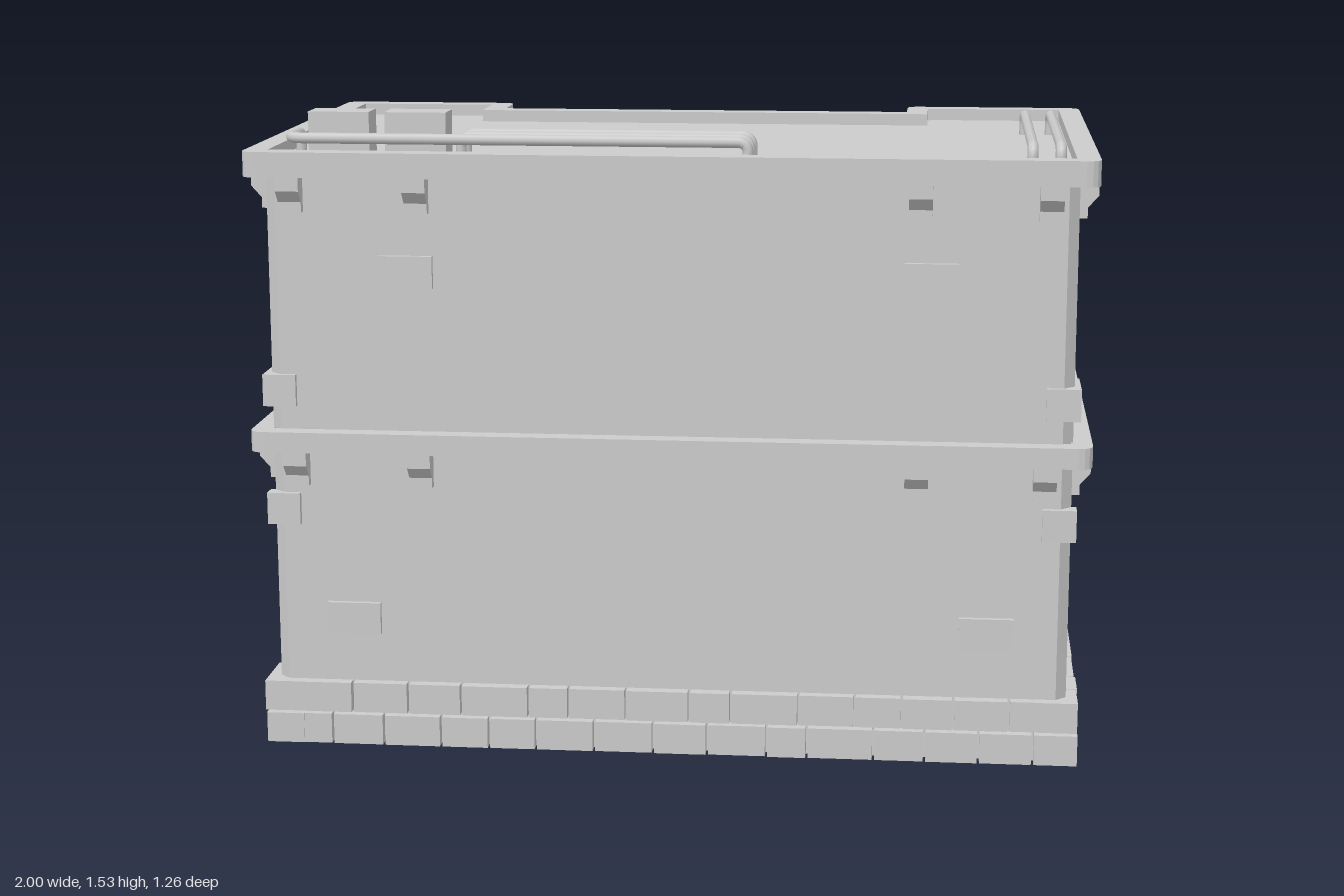
import * as THREE from 'three';

const grey = new THREE.MeshStandardMaterial({ color: 0xcccccc });
const sheet = new THREE.MeshStandardMaterial({ color: 0xcccccc, side: THREE.DoubleSide });

function add(parent, name, geometry, material = grey) {
  const m = new THREE.Mesh(geometry, material);
  m.name = name;
  parent.add(m);
  return m;
}

function box(parent, name, w, h, d, x, y, z) {
  const m = add(parent, name, new THREE.BoxGeometry(w, h, d));
  m.position.set(x, y, z);
  return m;
}

function group(parent, name) {
  const g = new THREE.Group();
  g.name = name;
  parent.add(g);
  return g;
}

// Corners of the U-shaped plan as (x, z), pushed outward by d
function corners(d) {
  const X = 0.955 + d, x = 0.585 - d, back = -0.535 - d, mid = -0.39 - d, front = 0.585 + d;
  return [[-X, back], [-x, back], [-x, mid], [x, mid], [x, back], [X, back], [X, front], [-X, front]]
    .map(p => new THREE.Vector2(...p));
}

// Plan outline with its outward corners cut or rounded
function plan(d, cut = 0, steps = 1) {
  const c = corners(d), pts = [];
  c.forEach((p, i) => {
    if (!cut || i === 2 || i === 3) return pts.push(p);
    const a = c[(i + 7) % 8].clone().sub(p).setLength(cut).add(p);
    const b = c[(i + 1) % 8].clone().sub(p).setLength(cut).add(p);
    pts.push(...new THREE.QuadraticBezierCurve(a, p, b).getPoints(steps));
  });
  return pts;
}

// Horizontal slab from y0 to y1, optionally hollow
function slab(outer, y0, y1, inner) {
  const s = new THREE.Shape(outer);
  if (inner) s.holes.push(new THREE.Path(inner));
  return new THREE.ExtrudeGeometry(s, { depth: y1 - y0, bevelEnabled: false })
    .rotateX(Math.PI / 2).translate(0, y1, 0);
}

// Open wall sheet around the plan
function wallSheet(pts, y0, y1) {
  const v = [];
  pts.forEach((a, i) => {
    const b = pts[(i + 1) % pts.length];
    v.push(a.x, y0, a.y, a.x, y1, a.y, b.x, y1, b.y, a.x, y0, a.y, b.x, y1, b.y, b.x, y0, b.y);
  });
  const g = new THREE.BufferGeometry();
  g.setAttribute('position', new THREE.Float32BufferAttribute(v, 3));
  g.computeVertexNormals();
  return g;
}

// Arched window with glazing bars and a sill, facing +z, sill bottom at y = 0
function makeWindow(h) {
  const g = new THREE.Group(), w = 0.165, sill = 0.028, bar = 0.012, rim = 0.022;
  g.name = 'window';
  const s = new THREE.Shape();
  s.moveTo(-w / 2, sill);
  s.lineTo(w / 2, sill);
  s.lineTo(w / 2, h - 0.025);
  s.quadraticCurveTo(0, h + 0.02, -w / 2, h - 0.025);
  const pw = (w - 2 * rim - bar) / 2, top = h - 0.035, low = sill + rim;
  const ph = (top - low - 2 * bar) / 3;
  for (const x of [-bar / 2 - pw, bar / 2]) for (let r = 0; r < 3; r++) {
    const y = low + r * (ph + bar);
    s.holes.push(new THREE.Path([[x, y], [x, y + ph], [x + pw, y + ph], [x + pw, y]]
      .map(p => new THREE.Vector2(...p))));
  }
  add(g, 'windowFrame', new THREE.ExtrudeGeometry(s, { depth: 0.014, bevelEnabled: false, curveSegments: 6 }));
  box(g, 'windowSill', 0.185, sill, 0.036, 0, sill / 2, 0.012);
  return g;
}

// Stepped bracket: profile in (outward, y), placed by turning about y
const bracketGeo = new THREE.ExtrudeGeometry(new THREE.Shape(
  [[-0.005, 0], [-0.005, -0.085], [0.02, -0.085], [0.02, -0.06], [0.045, -0.032], [0.045, 0]]
    .map(p => new THREE.Vector2(...p))), { depth: 0.055, bevelEnabled: false })
  .translate(0, 0, -0.0275).rotateY(-Math.PI / 2);

export function createModel() {
  const model = new THREE.Group();
  model.name = 'building';

  // Walls, storey band, roof
  add(model, 'walls', wallSheet(plan(0, 0.025), 0.012, 1.41), sheet);
  add(model, 'storeyBand', slab(plan(0.045, 0.035, 4), 0.74, 0.79, plan(-0.005)));
  add(model, 'roofParapet', slab(plan(0.045, 0.035, 4), 1.4, 1.46, plan(-0.01)));
  add(model, 'roofDeck', slab(plan(-0.005, 0.025), 1.4, 1.43));

  // Two courses of foundation blocks
  const base = group(model, 'foundation');
  let seed = 7;
  const rnd = () => (seed = (seed * 16807) % 2147483647) / 2147483647;
  const plinth = corners(0.03);
  for (let row = 0; row < 2; row++) plinth.forEach((a, i) => {
    const b = plinth[(i + 1) % 8], len = a.distanceTo(b), dir = b.clone().sub(a).normalize();
    const n = Math.max(1, Math.round(len / 0.135));
    const cuts = [0];
    for (let k = 1; k < n; k++) cuts.push((k + (row ? 0.2 : -0.2) + 0.3 * (rnd() - 0.5)) * len / n);
    cuts.push(len);
    for (let k = 0; k < n; k++) {
      const w = cuts[k + 1] - cuts[k] - 0.006, depth = 0.09, jut = -0.006 * rnd();
      const p = a.clone().addScaledVector(dir, (cuts[k] + cuts[k + 1]) / 2)
        .addScaledVector(new THREE.Vector2(dir.y, -dir.x), jut - depth / 2);
      const alongX = Math.abs(dir.x) > 0.5;
      box(base, 'foundationBlock', alongX ? w : depth, 0.074, alongX ? depth : w, p.x, 0.047 + row * 0.081, p.y);
    }
  });

  // Brackets below the band and the parapet
  const brackets = group(model, 'brackets');
  const spots = [];
  for (const s of [-1, 1]) {
    for (const x of [0.59, 0.89]) spots.push([s * x, 0.585, 0]);
    for (const x of [0.66, 0.89]) spots.push([s * x, -0.535, Math.PI]);
    for (const x of [0.18, 0.45]) spots.push([s * x, -0.39, Math.PI]);
    for (const z of [0.5, 0.175, -0.14, -0.46]) spots.push([s * 0.955, z, s * Math.PI / 2]);
  }
  for (const y of [0.74, 1.4]) for (const [x, z, turn] of spots) {
    const b = add(brackets, 'bracket', bracketGeo);
    b.position.set(x, y, z);
    b.rotation.y = turn;
  }

  // Raised bricks scattered over the walls, mirrored left to right
  const bricks = group(model, 'raisedBricks');
  for (const s of [-1, 1]) {
    for (const [x, y] of [[0.62, 1.175], [0.762, 0.325]])
      box(bricks, 'frontBrick', 0.13, 0.077, 0.03, s * x, y, 0.583);
    for (const [z, y] of [[-0.17, 1.255], [-0.23, 1.165], [-0.3, 0.905], [-0.18, 0.37], [0.09, 0.305], [0.385, 0.745]])
      box(bricks, 'sideBrick', 0.03, 0.077, 0.132, s * 0.955, y, z);
    box(bricks, 'cornerBrick', 0.08, 0.077, 0.04, s * 0.927, 0.595, 0.58);
    box(bricks, 'cornerBrick', 0.08, 0.077, 0.137, s * 0.93, 0.885, 0.53);
    box(bricks, 'cornerBrick', 0.08, 0.077, 0.14, s * 0.93, 1.01, -0.473);
  }

  // Windows on the back wall and wings
  const windows = group(model, 'windows');
  const place = (x, y, z, h) => {
    const w = makeWindow(h);
    w.position.set(x, y, z);
    w.rotation.y = Math.PI;
    windows.add(w);
  };
  for (const s of [-1, 1]) {
    for (const [x, z] of [[0.755, -0.535], [0.395, -0.39]]) {
      place(s * x, 0.275, z, 0.235);
      place(s * x, 0.915, z, 0.285);
    }
    place(s * 0.13, 0.915, -0.39, 0.285);
  }

  // Double door with frame, lintel and panels
  const door = group(model, 'door');
  box(door, 'lintel', 0.43, 0.03, 0.05, 0, 0.65, -0.4);
  for (const s of [-1, 1]) {
    box(door, 'doorPost', 0.022, 0.5, 0.04, s * 0.195, 0.385, -0.398);
    box(door, 'doorLeaf', 0.176, 0.5, 0.02, s * 0.091, 0.385, -0.395);
    for (let i = 0; i < 4; i++)
      box(door, 'doorPanel', 0.1, 0.075, 0.012, s * 0.091, 0.215 + i * 0.113, -0.408);
  }

  // Entrance steps
  const steps = group(model, 'steps');
  [[0.055, -0.63], [0.1, -0.55], [0.145, -0.46]].forEach(([y, z], i) => {
    const y0 = i ? y - 0.045 : 0.01;
    box(steps, 'step', 0.43, y - y0, -0.36 - z, -0.005, (y + y0) / 2, (z - 0.36) / 2);
  });

  // Roof pipes, turned down at both ends
  const pipes = group(model, 'roofPipes');
  const pipe = (...path) => {
    const P = path.map(([x, z]) => new THREE.Vector3(x, 1.482, z));
    const down = p => p.clone().setY(1.425);
    const all = [down(P[0]), ...P, down(P[P.length - 1])];
    const curve = new THREE.CurvePath();
    let from = all[0];
    for (let i = 1; i < all.length - 1; i++) {
      const r = i > 1 && i < all.length - 2 ? 0.045 : 0.025;
      const a = all[i - 1].clone().sub(all[i]).setLength(r).add(all[i]);
      const b = all[i + 1].clone().sub(all[i]).setLength(r).add(all[i]);
      curve.add(new THREE.LineCurve3(from, a));
      curve.add(new THREE.QuadraticBezierCurve3(a, all[i], b));
      from = b;
    }
    curve.add(new THREE.LineCurve3(from, all[all.length - 1]));
    add(pipes, 'pipe', new THREE.TubeGeometry(curve, 120, 0.013, 8));
  };
  for (const x of [0.845, 0.91]) pipe([x, -0.19], [x, 0.54]);
  for (const z of [0.385, 0.455]) pipe([-0.505, z], [0.185, z]);
  pipe([-0.91, 0.38], [-0.91, 0.52], [0.185, 0.52]);

  // Air conditioning units with a round fan on the back
  for (const x of [-0.797, -0.612]) {
    const unit = group(model, 'airConditioner');
    box(unit, 'unitCasing', 0.147, 0.11, 0.085, x, 1.485, 0.432);
    const fan = add(unit, 'unitFan', new THREE.CylinderGeometry(0.038, 0.038, 0.014, 20));
    fan.rotation.x = Math.PI / 2;
    fan.position.set(x + 0.028, 1.487, 0.384);
  }
  return model;
}
